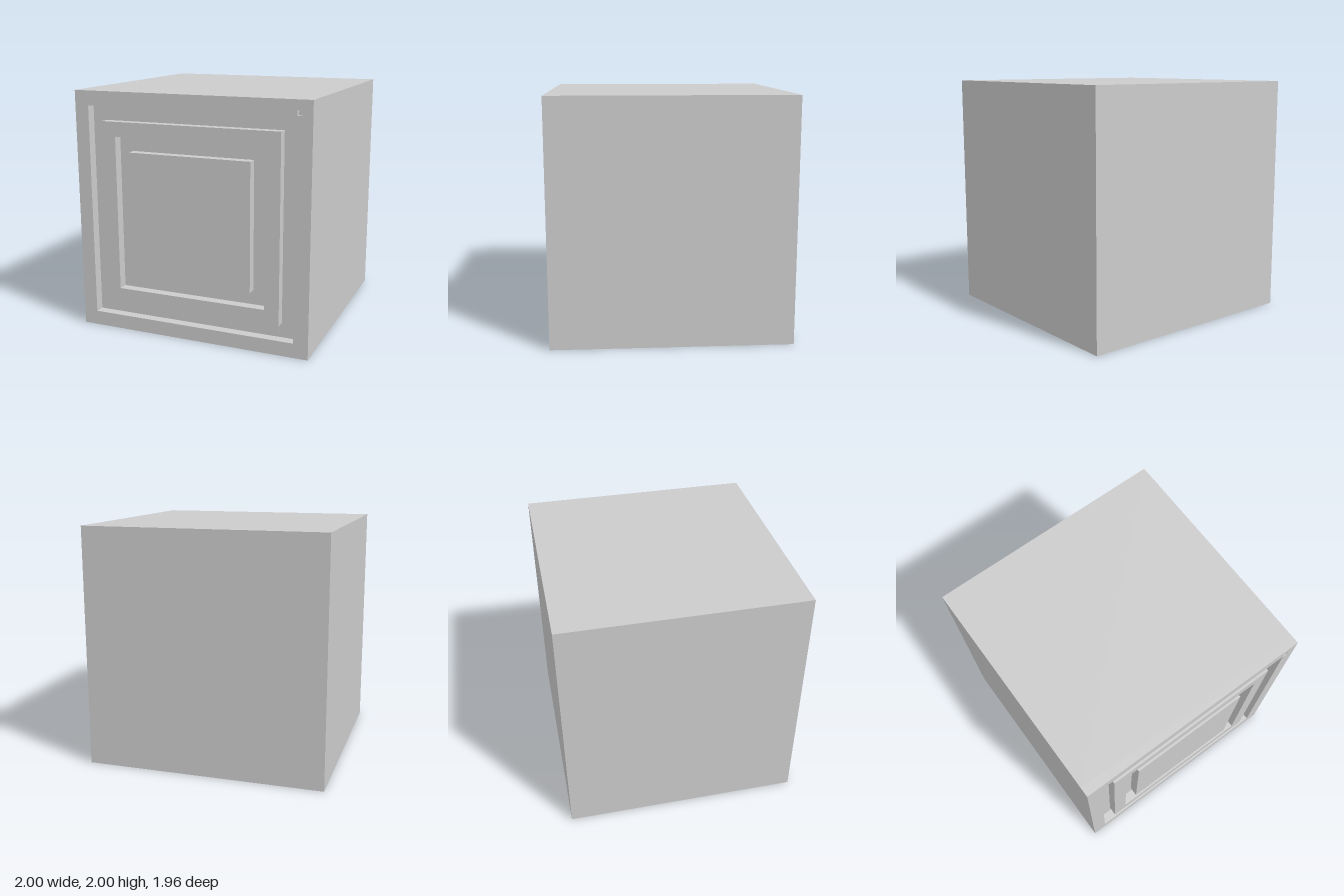
import * as THREE from 'three';

const FRONT = 0.98, FLOOR = 0.90, MID = 1;

// Axis-aligned rectangle outline
function rect(path, x0, y0, x1, y1) {
  path.moveTo(x0, y0);
  path.lineTo(x1, y0);
  path.lineTo(x1, y1);
  path.lineTo(x0, y1);
  path.closePath();
  return path;
}

export function createModel() {
  const group = new THREE.Group();
  const material = new THREE.MeshStandardMaterial({ color: 0xcccccc, flatShading: true });

  function add(name, geometry, x, y, z) {
    const mesh = new THREE.Mesh(geometry, material);
    mesh.name = name;
    mesh.position.set(x, y, z);
    group.add(mesh);
  }

  // Square frame standing on the groove floor
  function frame(name, outer, inner, notch) {
    const shape = rect(new THREE.Shape(), -outer, -outer, outer, outer);
    shape.holes.push(rect(new THREE.Path(), -inner, -inner, inner, inner));
    if (notch) shape.holes.push(rect(new THREE.Path(), ...notch));
    const geometry = new THREE.ExtrudeGeometry(shape, { depth: FRONT - FLOOR, bevelEnabled: false });
    add(name, geometry, 0, MID, FLOOR);
  }

  // Solid block behind the front relief
  add('body', new THREE.BoxGeometry(2, 2, FLOOR + FRONT), 0, MID, (FLOOR - FRONT) / 2);

  // Concentric relief, flush with the front
  frame('outerFrame', 1, 0.88, [0.881, 0.881, 0.92, 0.92]);
  frame('innerFrame', 0.76, 0.64);
  add('centerPanel', new THREE.BoxGeometry(1.04, 1.04, FRONT - FLOOR), 0, MID, (FRONT + FLOOR) / 2);

  // Shallow floor of the small corner notch
  add('notchFloor', new THREE.BoxGeometry(0.039, 0.039, 0.04), 0.9005, MID + 0.9005, FLOOR + 0.02);

  return group;
}
